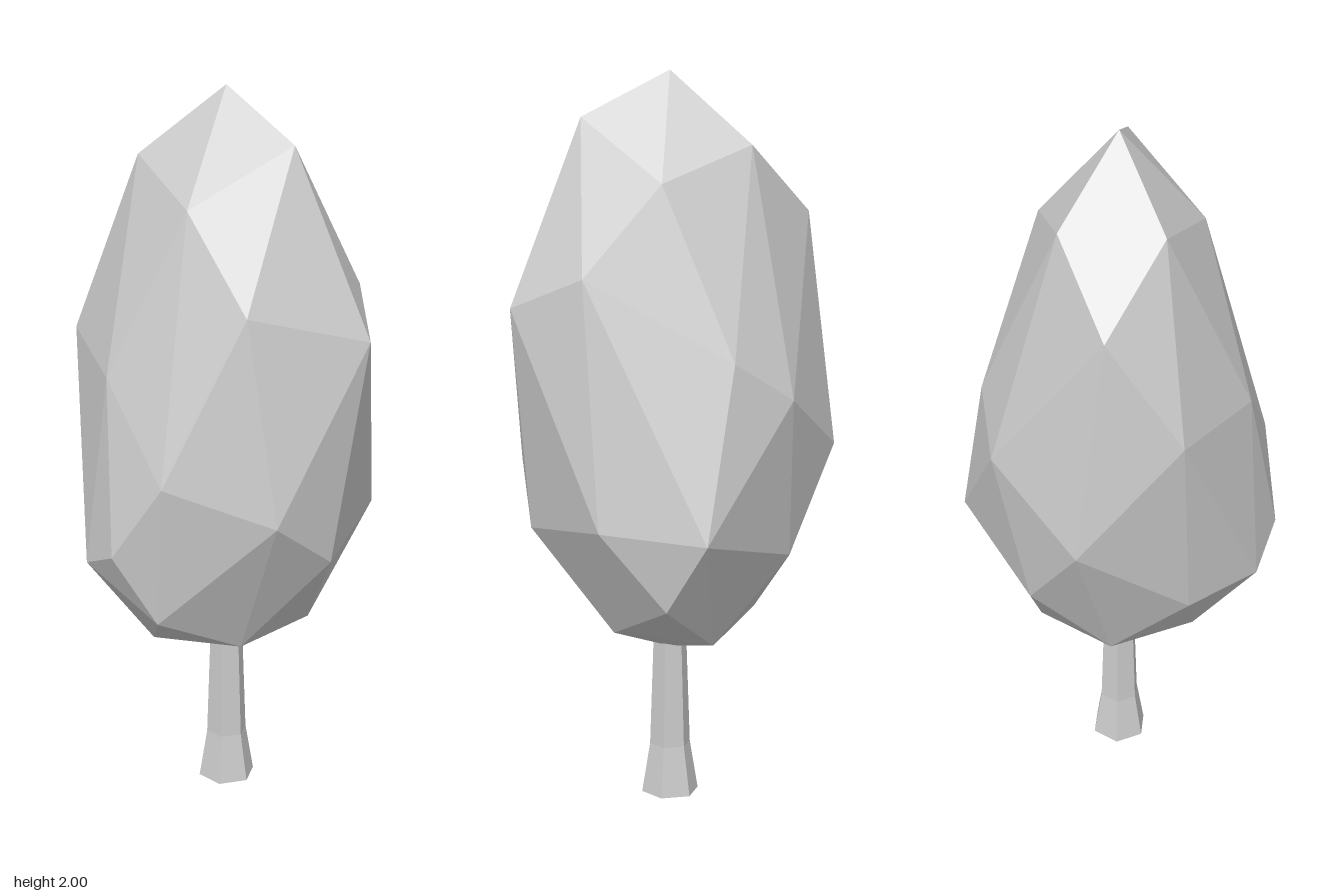
import * as THREE from 'three';
import { ConvexGeometry } from 'three/addons/geometries/ConvexGeometry.js';

const material = new THREE.MeshStandardMaterial({ color: 0xcccccc, flatShading: true });

// Faceted crown: the convex skin over rings of corner points
function createCrown() {
  const centred = [ // on the plane z = 0
    [0, 2], [0.24, 1.88], [-0.385, 1.62],
    [0.385, 0.78], [-0.24, 0.52], [0, 0.42],
  ];
  const mirrored = [ // repeated at +z and -z
    [0.07, 1.72, 0.215], [-0.19, 1.81, 0.135], // ring below the tip
    [0.28, 1.48, 0.215], [-0.09, 1.27, 0.355], // shoulder
    [0, 0.81, 0.433], // widest front and back
    [0.09, 0.62, 0.355], [-0.28, 0.72, 0.215], // underside
    [0.185, 0.51, 0.135], [-0.07, 0.48, 0.215],
  ];
  const girth = [ // irregular corners around the middle
    [0.445, 1.39, -0.07], [-0.445, 0.99, -0.07],
    [0.375, 0.93, 0.2], [-0.375, 1.31, 0.2],
    [0.145, 1.03, 0.39], [-0.145, 0.74, 0.39],
    [0.26, 0.83, -0.31], [-0.26, 1.16, -0.31],
  ];
  const points = [
    ...centred.map(([x, y]) => new THREE.Vector3(x, y, 0)),
    ...mirrored.flatMap(([x, y, z]) => [1, -1].map((s) => new THREE.Vector3(x, y, s * z))),
    ...girth.map((p) => new THREE.Vector3(...p)),
  ];
  const crown = new THREE.Mesh(new ConvexGeometry(points), material);
  crown.name = 'crown';
  return crown;
}

// Six-sided trunk, flared at the foot and closed underneath
function createTrunk() {
  const profile = [[0, 0], [0.08, 0], [0.057, 0.14], [0.046, 0.46]]
    .map(([r, y]) => new THREE.Vector2(r, y));
  const trunk = new THREE.Mesh(new THREE.LatheGeometry(profile, 6, Math.PI / 2), material);
  trunk.name = 'trunk';
  return trunk;
}

export function createModel() {
  const tree = new THREE.Group();
  tree.name = 'tree';
  tree.add(createTrunk(), createCrown());
  return tree;
}
